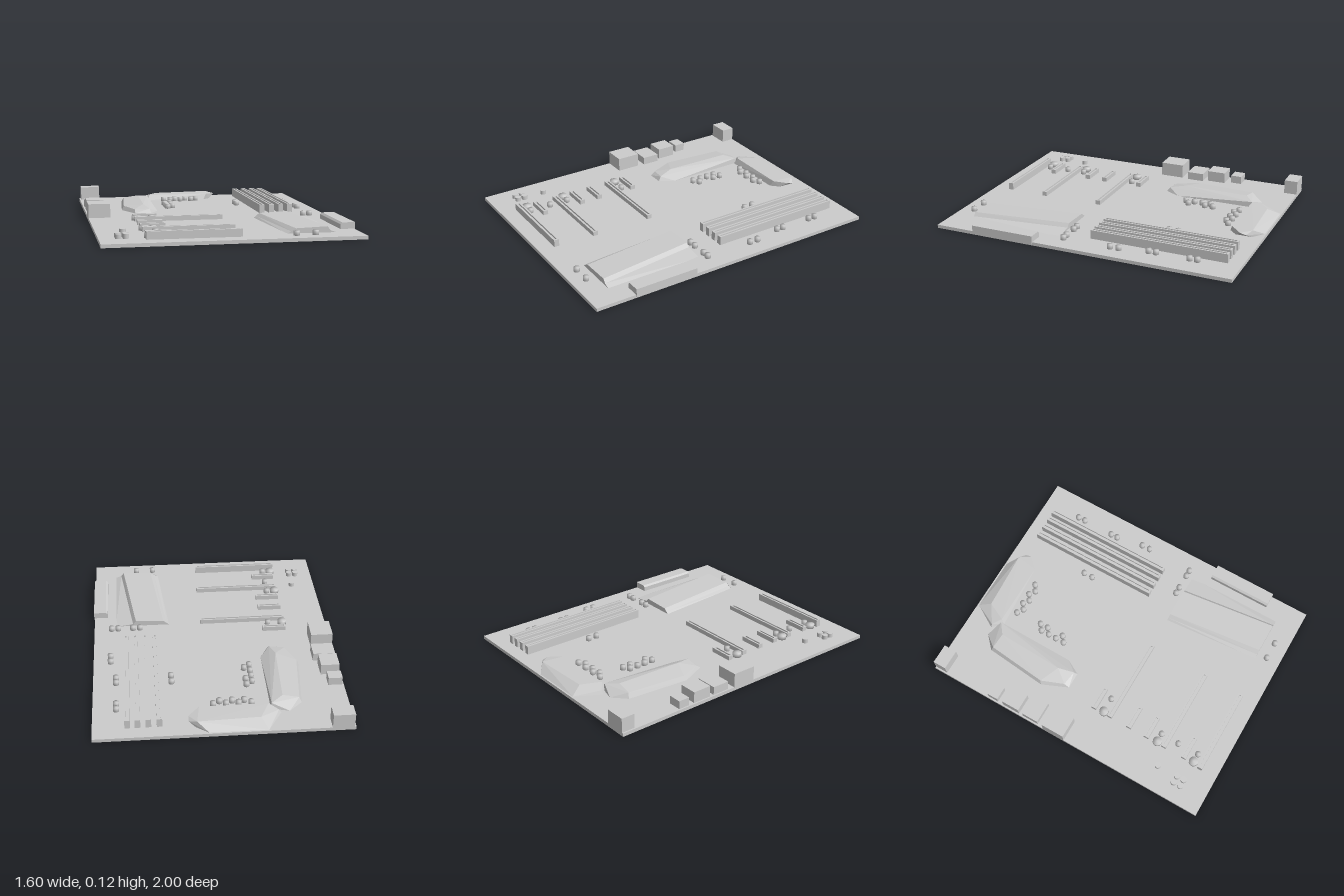
import * as THREE from 'three';
import { mergeVertices } from 'three/addons/utils/BufferGeometryUtils.js';
import { ConvexGeometry } from 'three/addons/geometries/ConvexGeometry.js';

const TOP = 0.022; // upper face of the board

export function createModel() {
  const model = new THREE.Group();
  const smooth = new THREE.MeshStandardMaterial({ color: 0xcccccc });
  const flat = new THREE.MeshStandardMaterial({ color: 0xcccccc, flatShading: true });

  const add = (name, geometry, material = flat) => {
    const mesh = new THREE.Mesh(geometry, material);
    mesh.name = name;
    model.add(mesh);
    return mesh;
  };

  const box = (name, x0, x1, y0, y1, z0, z1) =>
    add(name, new THREE.BoxGeometry(x1 - x0, y1 - y0, z1 - z0))
      .position.set((x0 + x1) / 2, (y0 + y1) / 2, (z0 + z1) / 2);

  // Socket: a rectangular wall around a shallow groove
  const slot = (name, x0, x1, z0, z1, height) => {
    const rect = (path, inset) => {
      const a = x0 + inset, b = x1 - inset, c = -z1 + inset, d = -z0 - inset;
      path.moveTo(a, c).lineTo(b, c).lineTo(b, d).lineTo(a, d).closePath();
      return path;
    };
    const shape = rect(new THREE.Shape(), 0);
    shape.holes.push(rect(new THREE.Path(), 0.011));
    const g = new THREE.ExtrudeGeometry(shape, { depth: height - TOP, bevelEnabled: false });
    add(name, g.rotateX(-Math.PI / 2).translate(0, TOP, 0));
    box(name + 'Floor', x0 + 0.01, x1 - 0.01, TOP, height - 0.012, z0 + 0.01, z1 - 0.01);
  };

  // Board
  box('board', -0.8, 0.795, 0, TOP, -1, 1);

  // Rear connectors
  [
    [-0.79, -0.655, 0.115, -1, -0.91],
    [-0.79, -0.7, 0.075, -0.58, -0.505],
    [-0.79, -0.67, 0.095, -0.465, -0.34],
    [-0.79, -0.645, 0.075, -0.31, -0.195],
    [-0.8, -0.655, 0.115, -0.15, 0.01],
  ].forEach(([x0, x1, h, z0, z1]) => box('rearConnector', x0, x1, TOP, h, z0, z1));

  // Side connector with a chamfered inner edge, hanging over the board edge
  const side = new THREE.Shape([[0.705, 0.008], [0.8, 0.008], [0.8, 0.063], [0.718, 0.063], [0.705, 0.052]]
    .map(([x, y]) => new THREE.Vector2(x, y)));
  add('sideConnector', new THREE.ExtrudeGeometry(side, { depth: 0.43, bevelEnabled: false })
    .translate(0, 0, 0.305));

  // Memory slots
  [0.386, 0.453, 0.519, 0.581].forEach(x => slot('memorySlot', x - 0.017, x + 0.017, -0.91, -0.005, 0.08));

  // Long and short expansion slots
  slot('longSlot', -0.515, 0.065, 0.178, 0.212, 0.052);
  slot('longSlot', -0.515, 0.065, 0.587, 0.621, 0.052);
  slot('longSlot', -0.525, 0.052, 0.86, 0.894, 0.07);
  [0.075, 0.34, 0.473, 0.752].forEach(z => slot('shortSlot', -0.515, -0.355, z - 0.017, z + 0.017, 0.052));

  // Capacitors: short cylinders with normals blended over the rim
  const can = (r, blended) => {
    const g = new THREE.CylinderGeometry(r, r, 0.028, 20);
    if (!blended) return g;
    g.deleteAttribute('normal');
    g.deleteAttribute('uv');
    const merged = mergeVertices(g);
    merged.computeVertexNormals();
    return merged;
  };
  const place = (name, geometry, spots) => spots.forEach(([x, z]) =>
    add(name, geometry, smooth).position.set(x, TOP + 0.014, z));

  const zigzag = [-0.19, -0.148, -0.111, -0.071, -0.032, 0.008, 0.048]
    .map((x, i) => [x, i % 2 ? -0.704 : -0.73]);
  place('capacitor', can(0.019, true), [
    ...zigzag,
    [-0.217, -0.516], [-0.18, -0.545], [-0.18, -0.489], [-0.217, -0.458],
    [-0.217, -0.402], [-0.18, -0.37], [-0.217, -0.341],
    [0.648, -0.735], [0.648, -0.685], [0.648, -0.468], [0.648, -0.42],
    [0.683, -0.235], [0.683, -0.177], [0.296, -0.48], [0.296, -0.418],
    [0.484, 0.146], [0.532, 0.146], [0.632, 0.146], [0.677, 0.146],
    [0.376, 0.907], [0.495, 0.907],
    [-0.4, 0.143], [-0.442, 0.55], [-0.444, 0.677], [-0.442, 0.823],
  ]);
  place('largeCapacitor', can(0.03, true), [[-0.5, 0.143], [-0.5, 0.55], [-0.5, 0.82]]);
  place('flatCapacitor', can(0.02, false),
    [[-0.638, 0.632], [-0.683, 0.775], [-0.638, 0.775], [-0.683, 0.823], [-0.638, 0.823]]);

  // Faceted heatsinks beside the processor area
  const hull = (name, points) =>
    add(name, new ConvexGeometry(points.map(p => new THREE.Vector3(...p))));

  hull('leftHeatsink', [
    [-0.545, TOP, -0.32], [-0.47, TOP, -0.145], [-0.36, TOP, -0.145], [-0.305, TOP, -0.245],
    [-0.305, TOP, -0.79], [-0.42, TOP, -0.82], [-0.505, TOP, -0.74],
    [-0.53, 0.05, -0.33], [-0.47, 0.046, -0.18], [-0.37, 0.05, -0.165],
    [-0.4, 0.068, -0.27], [-0.385, 0.07, -0.72], [-0.49, 0.055, -0.73], [-0.31, 0.058, -0.78],
  ]);
  hull('rearHeatsink', [
    [-0.365, TOP, -0.83], [-0.27, TOP, -0.99], [0.09, TOP, -0.99], [0.17, TOP, -0.93],
    [0.17, TOP, -0.82], [0.12, TOP, -0.77], [-0.305, TOP, -0.765],
    [-0.35, 0.045, -0.83], [-0.29, 0.062, -0.785], [0.14, 0.062, -0.785],
    [0.21, 0.055, -0.86], [0.21, 0.045, -0.9], [0.16, 0.064, -0.93], [-0.23, 0.06, -0.91],
  ]);

  // Front heatsink: one cross-section swept from rear to front with a skew
  const heights = [TOP - 0.002, 0.034, 0.053, 0.06, 0.036, TOP - 0.002];
  const sections = [
    [0.19, [0.28, 0.297, 0.32, 0.51, 0.53, 0.65]],
    [0.84, [0.335, 0.365, 0.392, 0.59, 0.608, 0.65]],
  ];
  const n = heights.length;
  const positions = sections.flatMap(([z, xs]) => xs.flatMap((x, i) => [x, heights[i], z]));
  const index = [];
  for (let i = 0; i < n; i++) {
    const j = (i + 1) % n;
    index.push(i, n + i, j, j, n + i, n + j);
    if (i > 0 && i < n - 1) index.push(0, i, i + 1, n, n + i + 1, n + i);
  }
  const sweep = new THREE.BufferGeometry();
  sweep.setAttribute('position', new THREE.Float32BufferAttribute(positions, 3));
  sweep.setIndex(index);
  sweep.computeVertexNormals();
  add('frontHeatsink', sweep, new THREE.MeshStandardMaterial({
    color: 0xcccccc, flatShading: true, side: THREE.DoubleSide,
  }));

  return model;
}
